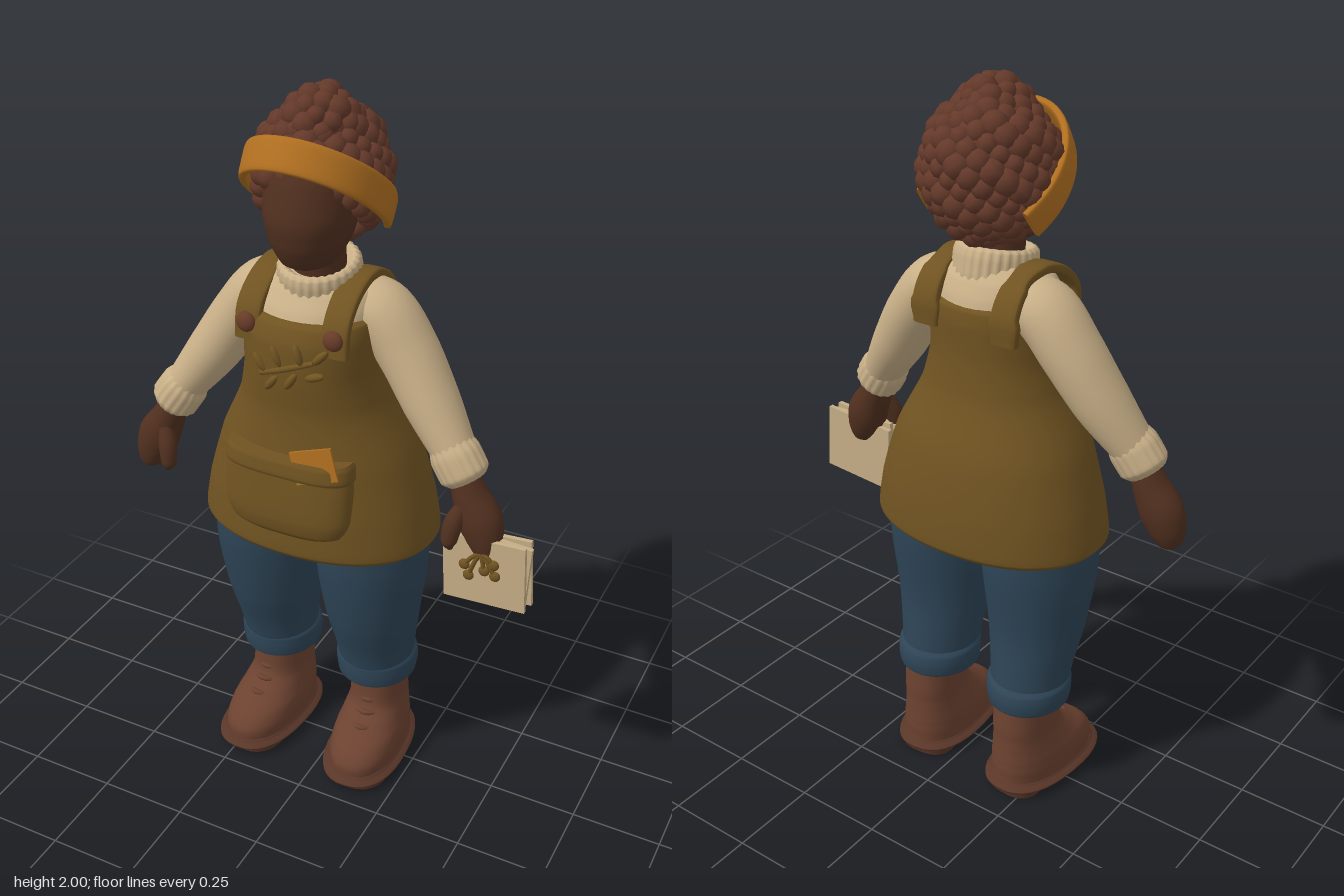
import * as THREE from 'three';
import { mergeGeometries } from 'three/addons/utils/BufferGeometryUtils.js';

const colours = {
  skin: 0x51301f, hair: 0x64392a, band: 0xb06f20, sweater: 0xc9b088, apron: 0x705321,
  denim: 0x2e4557, boot: 0x6c4230, sole: 0x593628, paper: 0xc6ae86, button: 0x6a3c28,
};
const M = {};
for (const [name, hex] of Object.entries(colours)) {
  M[name] = new THREE.MeshStandardMaterial({ color: hex });
  M[name].name = name;
}
const V = (x, y, z) => new THREE.Vector3(x, y, z);
const CX = -0.05; // body centre line

// Smooth skin over stations [x, y, z, halfU, halfV]; flat keeps the rings level
function loft(st, { n = 36, steps = 6, flat = true, v0 = V(0, 0, 1), p = 2, ribs = 0 } = {}) {
  const path = new THREE.CatmullRomCurve3(st.map(s => V(s[0], s[1], s[2])));
  const size = new THREE.CatmullRomCurve3(st.map(s => V(s[3], s[4], 0)));
  const rows = (st.length - 1) * steps, pos = [], idx = [];
  const up = V(0, Math.sign(st[st.length - 1][1] - st[0][1]) || 1, 0);
  const pw = a => Math.sign(a) * Math.abs(a) ** (2 / p);
  for (let i = 0; i <= rows; i++) {
    const c = path.getPoint(i / rows), r = size.getPoint(i / rows);
    const t = flat ? up : path.getTangent(i / rows);
    const v = v0.clone().addScaledVector(t, -t.dot(v0)).normalize();
    const u = t.clone().cross(v);
    for (let j = 0; j < n; j++) {
      const a = j / n * Math.PI * 2, k = 1 + (ribs ? 0.025 * Math.cos(ribs * a) : 0);
      const q = c.clone().addScaledVector(u, pw(Math.cos(a)) * r.x * k).addScaledVector(v, pw(Math.sin(a)) * r.y * k);
      pos.push(q.x, q.y, q.z);
      if (i < rows) {
        const A = i * n + j, B = i * n + (j + 1) % n;
        idx.push(A, A + n, B, B, A + n, B + n);
      }
    }
  }
  // end caps
  for (const row of [0, rows]) {
    const c = path.getPoint(row / rows), base = pos.length / 3;
    for (let j = 0; j < n; j++) pos.push(...pos.slice((row * n + j) * 3, (row * n + j) * 3 + 3));
    pos.push(c.x, c.y, c.z);
    for (let j = 0; j < n; j++) {
      const a = base + j, b = base + (j + 1) % n;
      if (row) idx.push(a, base + n, b); else idx.push(a, b, base + n);
    }
  }
  const g = new THREE.BufferGeometry();
  g.setAttribute('position', new THREE.Float32BufferAttribute(pos, 3));
  g.setIndex(idx);
  g.computeVertexNormals();
  return g;
}

// Curls spread evenly over an ellipsoid
function curls(count, c, r, size, keep) {
  const list = [];
  for (let i = 0; i < count; i++) {
    const h = 1 - 2 * (i + 0.5) / count, a = i * 2.39996, w = Math.sqrt(1 - h * h);
    const q = V(c.x + r.x * w * Math.cos(a), c.y + r.y * h, c.z + r.z * w * Math.sin(a));
    if (!keep(q)) continue;
    const s = size * (1 + 0.18 * Math.sin(i * 7.3));
    list.push(new THREE.SphereGeometry(s, 8, 6).rotateZ(i).translate(q.x, q.y, q.z));
  }
  return list;
}

export function createModel() {
  const root = new THREE.Group();
  root.name = 'gardener';
  const add = (name, geo, mat, parent = root) => {
    const m = new THREE.Mesh(geo, mat);
    m.name = name;
    parent.add(m);
    return m;
  };
  const blob = (name, mat, x, y, z, rx, ry, rz, turn = 0) => {
    const m = add(name, new THREE.SphereGeometry(1, 16, 10), mat);
    m.position.set(x, y, z);
    m.scale.set(rx, ry, rz);
    m.rotation.z = turn;
    return m;
  };

  // Head
  const HX = -0.043;
  add('neck', loft([[HX, 1.48, 0.015, 0.07, 0.07], [HX, 1.64, 0.03, 0.07, 0.07]]), M.skin);
  add('face', loft([[HX, 1.562, 0.085, 0.025, 0.03], [HX, 1.58, 0.08, 0.066, 0.07], [HX, 1.635, 0.066, 0.1, 0.112],
    [HX, 1.71, 0.056, 0.117, 0.131], [HX, 1.8, 0.04, 0.115, 0.125], [HX, 1.89, 0.02, 0.07, 0.09]]), M.skin);

  // Hair with a bun on top
  blob('hairCore', M.hair, -0.055, 1.785, -0.05, 0.137, 0.16, 0.132);
  add('curls', mergeGeometries([
    ...curls(190, V(-0.055, 1.77, -0.022), V(0.15, 0.165, 0.155), 0.031, q => q.y > 1.81 + (q.z - 0.16)),
    ...curls(50, V(-0.045, 1.9, 0.0), V(0.074, 0.068, 0.08), 0.029, q => q.y > 1.86),
  ]), M.hair);
  blob('bunCore', M.hair, -0.045, 1.9, 0, 0.08, 0.072, 0.085);

  // Headband, wrapping the front and sides
  const band = [];
  for (let i = 0; i <= 12; i++) {
    const a = (i / 12 - 0.5) * 4.1;
    band.push([-0.053 + 0.178 * Math.sin(a), 1.735 + 0.135 * Math.cos(a), 0.172 * Math.cos(a), 0.011, 0.043]);
  }
  add('headband', loft(band, { flat: false, v0: V(0, 0.85, -0.5), p: 4, n: 20, steps: 4 }), M.band);

  // Sweater body and ribbed collar
  add('sweaterBody', loft([[CX, 1.3, 0.02, 0.16, 0.15], [CX, 1.41, 0.02, 0.17, 0.155], [CX, 1.46, 0.015, 0.172, 0.14],
    [CX, 1.5, 0.01, 0.16, 0.115], [CX, 1.53, 0.01, 0.11, 0.09], [CX, 1.545, 0.01, 0.07, 0.07]]), M.sweater);
  const collar = add('collar', loft([[0, -0.055, 0, 0.098, 0.105], [0, -0.02, 0, 0.104, 0.112], [0, 0.02, 0, 0.105, 0.112],
    [0, 0.042, 0, 0.102, 0.107], [0, 0.05, 0, 0.09, 0.094], [0, 0.03, 0, 0.07, 0.07]], { n: 112, ribs: 28 }), M.sweater);
  collar.position.set(-0.042, 1.515, 0.015);
  collar.rotation.x = 0.18;

  // Apron
  add('apron', loft([[CX, 0.785, -0.005, 0.325, 0.228], [CX, 0.8, -0.005, 0.335, 0.237], [CX, 0.9, -0.005, 0.318, 0.232],
    [CX, 1.05, 0, 0.272, 0.212], [CX, 1.2, 0.02, 0.2, 0.178], [CX, 1.3, 0.03, 0.18, 0.174], [CX, 1.39, 0.028, 0.181, 0.172],
    [CX, 1.435, 0.022, 0.177, 0.16], [CX, 1.445, 0.02, 0.165, 0.145]], { n: 64, p: 2.2 }), M.apron);
  const PX = CX;
  add('pocket', loft([[PX, 0.852, 0.165, 0.13, 0.062], [PX, 0.87, 0.168, 0.165, 0.072], [PX, 0.92, 0.17, 0.183, 0.076],
    [PX, 1.0, 0.166, 0.184, 0.074], [PX, 1.075, 0.16, 0.176, 0.072]], { n: 64, p: 3 }), M.apron);
  add('pocketHem', loft([[PX, 1.035, 0.163, 0.182, 0.078], [PX, 1.045, 0.163, 0.185, 0.081], [PX, 1.075, 0.16, 0.182, 0.08],
    [PX, 1.088, 0.16, 0.176, 0.074]], { n: 64, p: 3 }), M.apron);
  const note = add('pocketNote', new THREE.BoxGeometry(0.115, 0.09, 0.008), M.band);
  note.position.set(0.045, 1.085, 0.224);
  note.rotation.set(-0.12, 0.1, 0.3);

  // Raised sprig on the bib
  add('sprigStem', loft([[-0.12, 1.3, 0.193, 0.007, 0.007], [-0.05, 1.33, 0.204, 0.008, 0.008], [0.03, 1.36, 0.193, 0.007, 0.007]],
    { flat: false, n: 8 }), M.apron);
  for (const [x, y, a] of [[-0.12, 1.33, 2.2], [-0.085, 1.285, 0.9], [-0.07, 1.36, 2], [-0.03, 1.3, 1], [-0.01, 1.375, 1.9], [0.03, 1.32, 0.3], [0.045, 1.375, 0.8]])
    blob('sprigLeaf', M.apron, x, y, 0.201 - 1.6 * (x - CX) ** 2, 0.03, 0.011, 0.012, a);

  for (const s of [1, -1]) {
    const side = s > 0 ? 'left' : 'right';
    const X = st => st.map(([d, ...r]) => [CX + s * d, ...r]);

    // Strap and button
    add(side + 'Strap', loft(X([[0.122, 1.37, 0.158, 0.014, 0.036], [0.122, 1.45, 0.146, 0.014, 0.036], [0.12, 1.505, 0.09, 0.014, 0.036],
      [0.118, 1.53, 0.0, 0.014, 0.036], [0.12, 1.5, -0.085, 0.014, 0.036], [0.12, 1.44, -0.125, 0.014, 0.038], [0.12, 1.37, -0.125, 0.014, 0.038]]),
      { flat: false, v0: V(1, 0, 0), p: 4, n: 20 }), M.apron);
    blob(side + 'Button', M.button, CX + s * 0.122, 1.42, 0.17, 0.027, 0.027, 0.016);

    // Sleeve, cuff, hand and thumb
    add(side + 'Sleeve', loft(X([[0.09, 1.465, -0.015, 0.06, 0.08], [0.17, 1.43, -0.015, 0.079, 0.092], [0.24, 1.345, -0.01, 0.078, 0.088],
      [0.32, 1.225, 0.01, 0.072, 0.08], [0.41, 1.1, 0.04, 0.054, 0.06]]), { flat: false }), M.sweater);
    add(side + 'Cuff', loft(X([[0.385, 1.135, 0.035, 0.055, 0.06], [0.405, 1.105, 0.04, 0.066, 0.066], [0.432, 1.065, 0.045, 0.066, 0.064],
      [0.443, 1.048, 0.047, 0.05, 0.05]]), { flat: false, n: 72, ribs: 18 }), M.sweater);
    add(side + 'Hand', loft(X([[0.425, 1.075, 0.045, 0.035, 0.04], [0.452, 1.01, 0.05, 0.046, 0.05], [0.485, 0.945, 0.055, 0.059, 0.055],
      [0.503, 0.895, 0.06, 0.05, 0.048], [0.512, 0.855, 0.066, 0.032, 0.034], [0.514, 0.838, 0.068, 0.008, 0.01]]), { flat: false }), M.skin);
    add(side + 'Thumb', loft(X([[0.445, 0.985, 0.08, 0.02, 0.024], [0.43, 0.94, 0.1, 0.026, 0.026], [0.425, 0.89, 0.11, 0.021, 0.021],
      [0.43, 0.87, 0.112, 0.006, 0.006]]), { flat: false, n: 16 }), M.skin);

    // Trouser leg with a rolled cuff
    add(side + 'TrouserLeg', loft(X([[0.155, 0.86, 0, 0.15, 0.175], [0.157, 0.72, 0, 0.154, 0.17], [0.157, 0.52, -0.008, 0.133, 0.14],
      [0.157, 0.4, -0.03, 0.114, 0.122], [0.157, 0.3, -0.045, 0.103, 0.112]])), M.denim);
    add(side + 'TrouserCuff', loft(X([[0.157, 0.272, -0.045, 0.095, 0.1], [0.157, 0.285, -0.045, 0.112, 0.12], [0.157, 0.32, -0.045, 0.117, 0.124],
      [0.157, 0.345, -0.043, 0.116, 0.122], [0.157, 0.362, -0.04, 0.105, 0.112]])), M.denim);

    // Boot
    const boot = new THREE.Group();
    boot.name = side + 'Boot';
    boot.position.x = CX + s * 0.165;
    boot.rotation.y = s * 0.08;
    root.add(boot);
    add('upper', loft([[0, 0.02, 0.015, 0.096, 0.178], [0, 0.07, 0.015, 0.1, 0.18], [0, 0.11, 0.0, 0.097, 0.165], [0, 0.145, -0.028, 0.088, 0.135],
      [0, 0.19, -0.055, 0.079, 0.107], [0, 0.29, -0.06, 0.078, 0.1]], { p: 2.3 }), M.boot, boot);
    add('sole', loft([[0, 0.008, 0.018, 0.097, 0.18], [0, 0.02, 0.018, 0.103, 0.187], [0, 0.036, 0.018, 0.103, 0.187], [0, 0.044, 0.018, 0.096, 0.18]],
      { p: 2.4, steps: 3 }), M.sole, boot);
    add('heel', loft([[0, 0, -0.095, 0.08, 0.07], [0, 0.03, -0.095, 0.085, 0.076]], { p: 2.6 }), M.sole, boot);
    add('tread', loft([[0, 0, 0.1, 0.09, 0.095], [0, 0.03, 0.1, 0.095, 0.1]], { p: 2.4 }), M.sole, boot);
    for (const [y, z] of [[0.15, 0.1], [0.18, 0.065], [0.212, 0.044]])
      add('lace', loft([[-0.05, y - 0.012, z - 0.035, 0.007, 0.007], [0, y, z, 0.008, 0.008], [0.05, y - 0.012, z - 0.035, 0.007, 0.007]],
        { flat: false, n: 8, steps: 5 }), M.boot, boot);
  }

  // Bundle of cards in the left hand
  [[0.05, 0.07], [0.068, -0.05], [0.088, 0.05]].forEach(([z, turn], i) => {
    const card = add('card', new THREE.BoxGeometry(0.225, 0.195, 0.013), M.paper);
    card.position.set(0.472 - i * 0.002, 0.812, z);
    card.rotation.z = turn;
  });
  // Berry sprig on the front card
  for (const [x, y] of [[0.428, 0.795], [0.415, 0.825], [0.47, 0.82], [0.5, 0.812], [0.495, 0.845]]) {
    add('berryStem', loft([[0.458, 0.872, 0.097, 0.006, 0.006], [(x + 0.458) / 2, (y + 0.885) / 2, 0.099, 0.006, 0.006], [x, y, 0.097, 0.006, 0.006]],
      { flat: false, n: 8, steps: 4 }), M.apron);
    blob('berry', M.apron, x, y, 0.097, 0.015, 0.015, 0.009);
  }
  return root;
}
